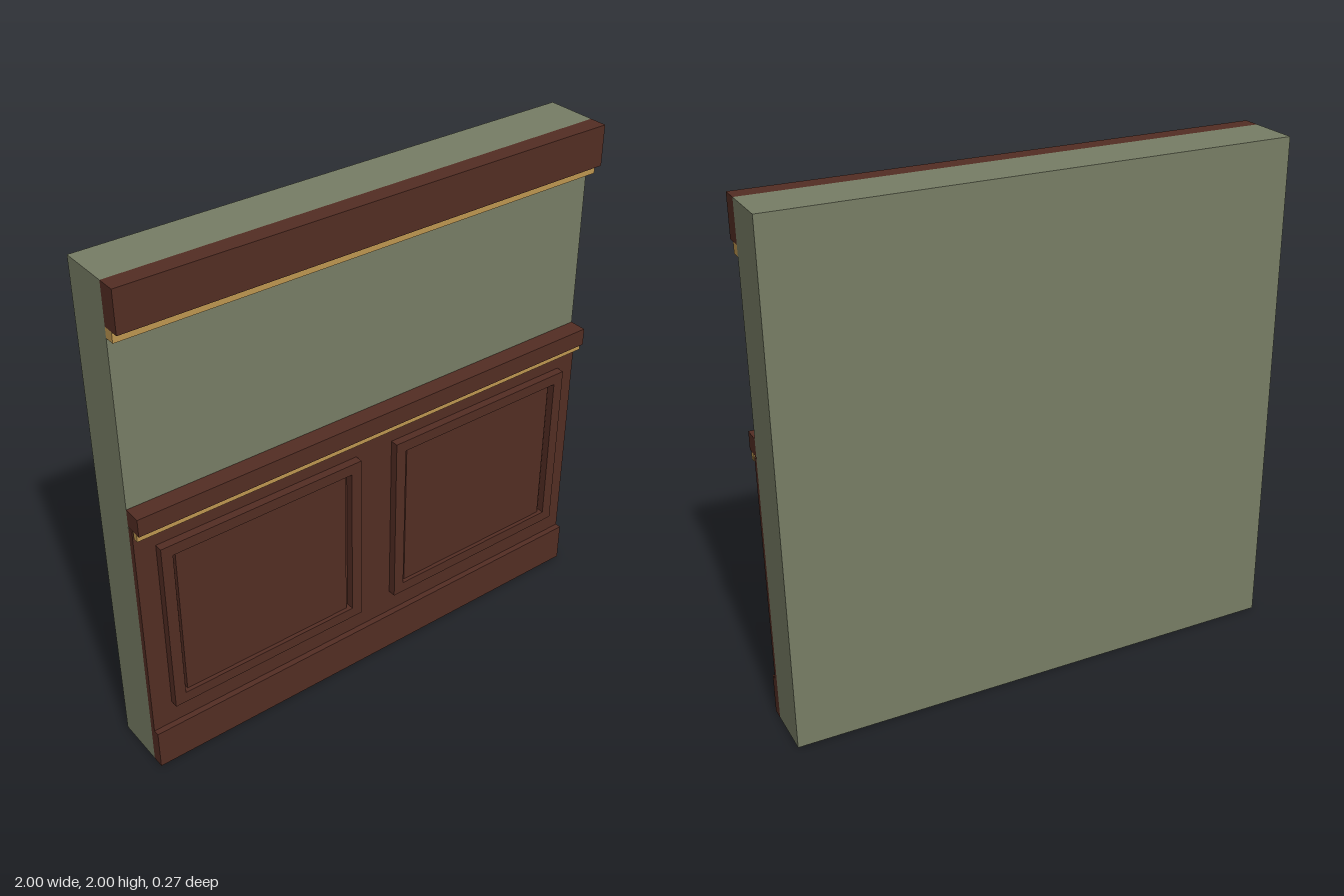
import * as THREE from 'three';

export function createModel() {
  const model = new THREE.Group();
  model.name = 'panelledWall';

  const material = (name, color) => {
    const m = new THREE.MeshStandardMaterial({ color });
    m.name = name;
    return m;
  };
  const plaster = material('sage plaster', 0x777d65);
  const wood = material('dark wood', 0x532d23);
  const gilt = material('gilt trim', 0xbe9650);

  // Box given by its limits on each axis
  const box = (name, mat, [x0, x1], [y0, y1], [z0, z1], parent = model) => {
    const mesh = new THREE.Mesh(new THREE.BoxGeometry(x1 - x0, y1 - y0, z1 - z0), mat);
    mesh.position.set((x0 + x1) / 2, (y0 + y1) / 2, (z0 + z1) / 2);
    mesh.name = name;
    parent.add(mesh);
  };

  const full = [-1, 1];
  const face = 0.065; // front of the plaster
  const board = 0.088; // front of the wainscot board

  box('wall', plaster, full, [0, 2], [-0.135, face]);

  // Full-width woodwork and trims
  box('wainscotBoard', wood, full, [0.16, 1.08], [face, board]);
  box('baseboard', wood, full, [0, 0.162], [face, 0.112]);
  box('chairRail', wood, full, [1.087, 1.157], [face, 0.135]);
  box('chairRailTrim', gilt, full, [1.058, 1.087], [0.098, 0.12]);
  box('crown', wood, full, [1.843, 2], [face, 0.135]);
  box('crownTrim', gilt, full, [1.803, 1.843], [face, 0.105]);

  // Two framed panels, each with a narrow gap beside its recessed field
  for (const x of [-0.5, 0.5]) {
    const panel = new THREE.Group();
    panel.name = x < 0 ? 'rightPanel' : 'leftPanel';
    panel.position.x = x;
    model.add(panel);
    const depth = [board, 0.12];
    box('topRail', wood, [-0.419, 0.419], [0.941, 0.985], depth, panel);
    box('bottomRail', wood, [-0.419, 0.419], [0.261, 0.305], depth, panel);
    box('rightStile', wood, [-0.419, -0.375], [0.305, 0.941], depth, panel);
    box('leftStile', wood, [0.375, 0.419], [0.305, 0.941], depth, panel);
    box('panelField', wood, [-0.358, 0.358], [0.305, 0.941], [board, 0.104], panel);
  }

  return model;
}
